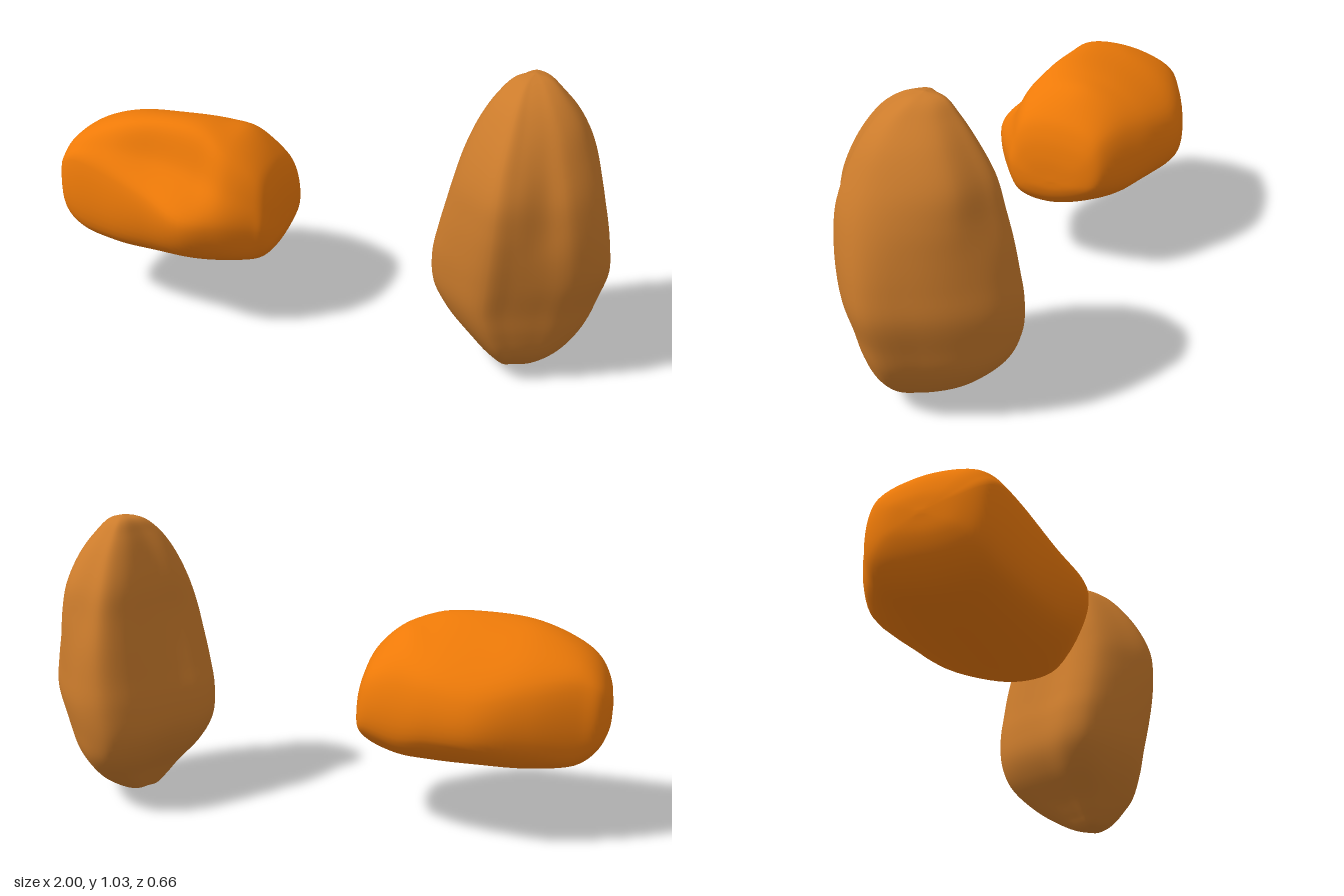
import * as THREE from 'three';
import { mergeVertices } from 'three/addons/utils/BufferGeometryUtils.js';

// Smooth closed skin through rings of control points, first and last ring being poles.
function loft(rings, around = 72, along = 72) {
  const loops = rings.map((r) => {
    const c = new THREE.CatmullRomCurve3(r, true);
    return Array.from({ length: around }, (_, j) => c.getPoint(j / around));
  });
  const rails = Array.from({ length: around }, (_, j) =>
    new THREE.CatmullRomCurve3(loops.map((l) => l[j])).getPoints(along));
  const pos = [], idx = [];
  for (let i = 0; i <= along; i++) for (const rail of rails) pos.push(...rail[i].toArray());
  for (let i = 0; i < along; i++) {
    for (let j = 0; j < around; j++) {
      const a = i * around + j, b = i * around + (j + 1) % around;
      if (i < along - 1) idx.push(a, b + around, a + around);
      if (i > 0) idx.push(a, b, b + around);
      if (i === 0) idx.push(a, b + around, a + around);
      if (i === along - 1) idx.push(a, b, a + around);
    }
  }
  let g = new THREE.BufferGeometry();
  g.setAttribute('position', new THREE.Float32BufferAttribute(pos, 3));
  g.setIndex(idx);
  g = mergeVertices(g, 1e-5);
  g.computeVertexNormals();
  return g;
}

// Fits a section drawn in -1..1 between the given limits.
const fit = (t, lo, hi) => (lo + hi) / 2 + t * (hi - lo) / 2;

function stone(name, color, rings) {
  const mesh = new THREE.Mesh(loft(rings), new THREE.MeshStandardMaterial({ color }));
  mesh.name = name;
  return mesh;
}

// Tall stone: height, then x and z limits
function tallStone() {
  const section = [[-0.2, 1], [0.08, 0.91], [0.4, 0.78], [0.72, 0.62], [1, 0.2], [0.8, -0.25],
    [0.53, -0.65], [0.22, -0.93], [-0.08, -1], [-0.38, -0.8], [-0.7, -0.24], [-0.97, 0.12],
    [-0.97, 0.42], [-0.62, 0.76]];
  const levels = [
    [0, 0.7, 0.7, 0.05, 0.05], [0.015, 0.64, 0.76, -0.02, 0.1], [0.05, 0.605, 0.82, -0.09, 0.15],
    [0.11, 0.555, 0.88, -0.18, 0.205], [0.2, 0.47, 0.935, -0.27, 0.245], [0.29, 0.42, 0.965, -0.305, 0.268],
    [0.4, 0.415, 0.995, -0.315, 0.29], [0.5, 0.435, 0.99, -0.305, 0.305], [0.6, 0.46, 0.972, -0.29, 0.312],
    [0.7, 0.485, 0.945, -0.265, 0.305], [0.8, 0.512, 0.91, -0.235, 0.265], [0.9, 0.552, 0.865, -0.175, 0.2],
    [0.97, 0.595, 0.81, -0.12, 0.135], [1.015, 0.64, 0.755, -0.075, 0.06], [1.03, 0.7, 0.7, -0.01, -0.01]];
  return stone('tallStone', 0xcc7c2c, levels.map(([y, x0, x1, z0, z1]) => section.map(([u, v], k) => {
    // Shallow hollow right of the front ridge, fuller shoulder at the upper back
    const dent = k === 2 ? 0.02 * Math.exp(-(((y - 0.66) / 0.15) ** 2)) : 0;
    const push = k === 5 || k === 6 ? 0.12 * Math.exp(-(((y - 0.82) / 0.2) ** 2)) : 0;
    return new THREE.Vector3(fit(u + push, x0, x1), y, fit(v - push, z0, z1) - dent);
  })));
}

// Long stone: each section lists (z, y) of the front crease, front slope, crest, top,
// back ridge, lower back edge, underside and lower front edge
function longStone() {
  const sections = [
    [-0.2, [[0.2, 0.4], [0.18, 0.49], [0.13, 0.575], [-0.03, 0.595], [-0.17, 0.53], [-0.19, 0.36], [0, 0.262], [0.16, 0.285]]],
    [-0.3, [[0.28, 0.43], [0.22, 0.54], [0.145, 0.655], [-0.05, 0.68], [-0.22, 0.56], [-0.235, 0.34], [0, 0.235], [0.23, 0.295]]],
    [-0.41, [[0.325, 0.45], [0.2, 0.57], [0.115, 0.71], [-0.1, 0.68], [-0.275, 0.55], [-0.285, 0.36], [0, 0.222], [0.27, 0.305]]],
    [-0.57, [[0.28, 0.5], [0.18, 0.6], [0.105, 0.72], [-0.1, 0.68], [-0.305, 0.53], [-0.315, 0.36], [0, 0.22], [0.25, 0.3]]],
    [-0.74, [[0.235, 0.54], [0.185, 0.62], [0.12, 0.695], [-0.04, 0.69], [-0.255, 0.555], [-0.26, 0.33], [0, 0.222], [0.225, 0.295]]],
    [-0.89, [[0.195, 0.56], [0.165, 0.6], [0.11, 0.635], [-0.05, 0.635], [-0.185, 0.56], [-0.19, 0.31], [0, 0.255], [0.19, 0.31]]]];
  // A section shrunk in z and towards the height cy
  const ring = ([, pts], x, sz = 1, sy = 1, cy = 0) =>
    pts.map(([z, y]) => new THREE.Vector3(x, cy + (y - cy) * sy, z * sz));
  const cap = (section, cy, steps) => steps.map(([x, sz, sy]) => ring(section, x, sz, sy, cy));
  return stone('longStone', 0xee7a08, [
    ...cap(sections[0], 0.37, [[-0.148, 0, 0], [-0.152, 0.6, 0.38], [-0.168, 0.86, 0.72]]),
    ...sections.map((s) => ring(s, s[0])),
    ...cap(sections[5], 0.45, [[-0.955, 0.85, 0.72], [-0.99, 0.55, 0.36], [-1, 0, 0]]),
  ]);
}

export function createModel() {
  const group = new THREE.Group();
  group.name = 'stones';
  group.add(tallStone(), longStone());
  return group;
}
